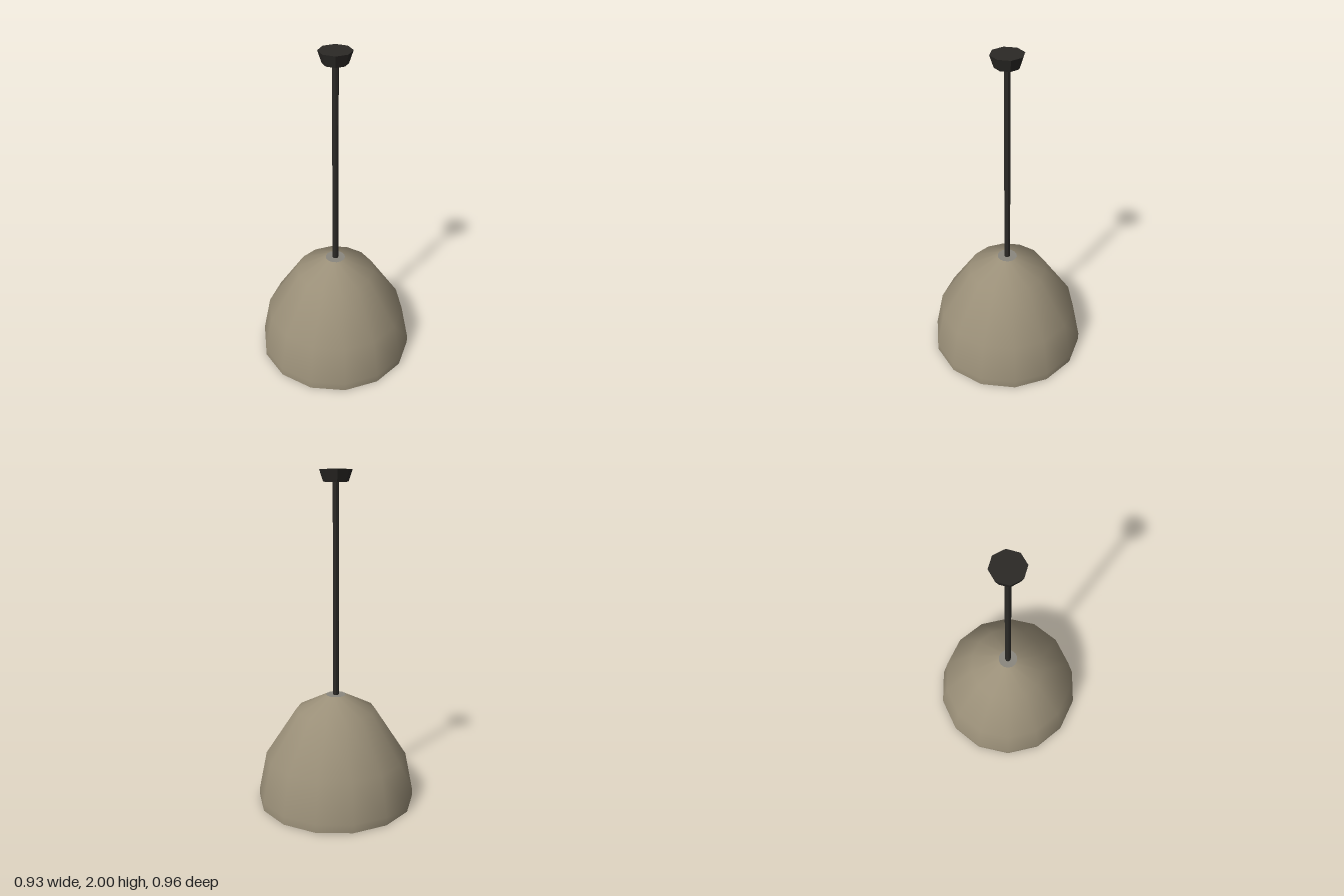
import * as THREE from 'three';

const material = (color, flatShading = false) =>
  new THREE.MeshStandardMaterial({ color, flatShading, side: THREE.DoubleSide });

export function createModel() {
  const group = new THREE.Group();
  const add = (name, geometry, mat, y = 0) => {
    const mesh = new THREE.Mesh(geometry, mat);
    mesh.name = name;
    mesh.position.y = y;
    group.add(mesh);
  };
  const lathe = (points, sides) =>
    new THREE.LatheGeometry(points.map(([r, y]) => new THREE.Vector2(r, y)), sides);

  const dark = material(0x2b2926, true);
  const shade = material(0x9a8f78);
  const grey = material(0x8a877e, true);
  const glow = material(0xcbb888, true);

  // Ceiling mount and hanging rod
  add('ceilingMount', new THREE.CylinderGeometry(0.095, 0.072, 0.07, 8), dark, 1.965);
  add('rod', new THREE.CylinderGeometry(0.018, 0.018, 1.29, 8), dark, 1.295);

  // Bell-shaped shade, open at the bottom
  add('shade', lathe([[0.478, 0], [0.478, 0.05], [0.43, 0.29], [0.24, 0.58], [0.06, 0.672]], 14), shade);

  // Cap closing the top of the shade
  add('shadeCap', new THREE.CylinderGeometry(0.06, 0.06, 0.01, 14), grey, 0.667);

  // Light unit inside the shade: bezel and glowing disc
  add('lampBezel', lathe([[0.29, 0.1], [0.335, 0.11], [0.385, 0.136], [0.385, 0.17], [0, 0.17]], 14), grey);
  add('lampDisc', new THREE.CylinderGeometry(0.29, 0.29, 0.03, 14), glow, 0.1);

  return group;
}
